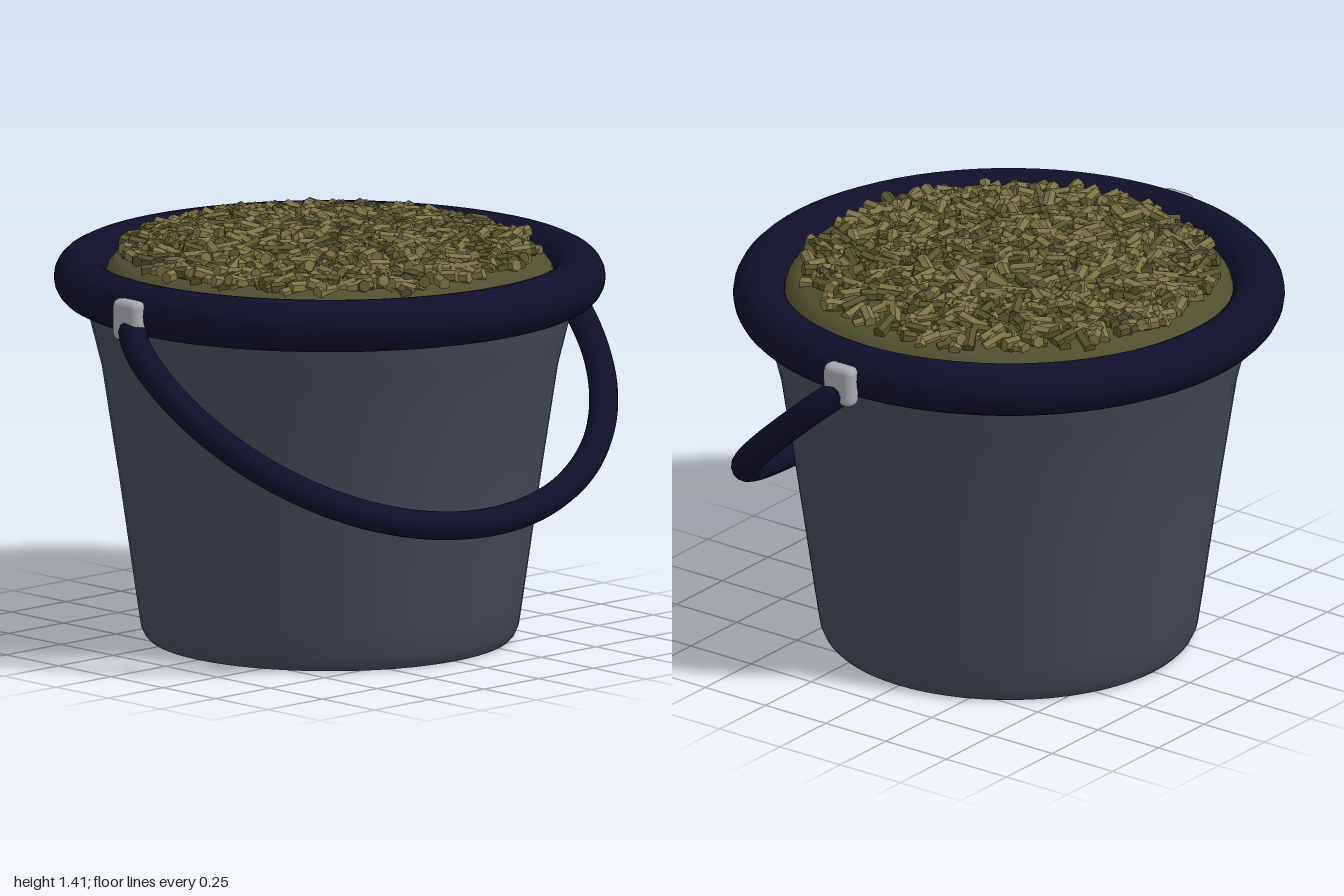
import * as THREE from 'three';
import { mergeGeometries, toCreasedNormals } from 'three/addons/utils/BufferGeometryUtils.js';
import { RoundedBoxGeometry } from 'three/addons/geometries/RoundedBoxGeometry.js';

const material = (name, color, side = THREE.FrontSide) => {
  const m = new THREE.MeshStandardMaterial({ color, side });
  m.name = name;
  return m;
};

// Small seeded generator for the pellet scatter
function seeded(seed) {
  return () => {
    seed = (seed * 1664525 + 1013904223) % 4294967296;
    return seed / 4294967296;
  };
}

const lathe = (pairs, segments = 64) =>
  new THREE.LatheGeometry(pairs.map(([r, y]) => new THREE.Vector2(r, y)), segments);

// Height of the heaped feed at a distance from the centre
const heapHeight = (r) => 1.365 - 0.09 * (r / 0.74) ** 2;

export function createModel() {
  const group = new THREE.Group();
  const slate = material('slate plastic', 0x434954, THREE.DoubleSide);
  const navy = material('navy plastic', 0x0f0f2a);
  const grey = material('light grey', 0xa6a8b0);
  const feed = material('olive feed', 0x505030, THREE.DoubleSide);
  const lightPellet = material('light pellet', 0x7c7246);
  const darkPellet = material('dark pellet', 0x57542f);

  const add = (name, geometry, mat) => {
    const mesh = new THREE.Mesh(geometry, mat);
    mesh.name = name;
    group.add(mesh);
    return mesh;
  };

  // Tapered bucket with a closed, slightly rounded foot
  const body = lathe([
    [0, 0], [0.6, 0], [0.612, 0.012], [0.625, 0.04], [0.64, 0.14],
    [0.7, 0.56], [0.755, 0.92], [0.78, 1.02], [0.81, 1.14], [0.82, 1.21],
  ]);
  add('bucket', toCreasedNormals(body, 0.7), slate);

  // Thick rounded rim
  const rim = add('rim', new THREE.TorusGeometry(0.825, 0.087, 20, 80), navy);
  rim.rotation.x = Math.PI / 2;
  rim.position.y = 1.21;

  // Carrying handle, hanging forward in a sloping plane
  const path = [new THREE.Vector3(0.895, 1.17, 0)];
  const slope = (x, y) => new THREE.Vector3(x, y, (1.165 - y) * 1.15);
  path[0].copy(slope(0.9, 1.165));
  path.push(slope(0.935, 1.125));
  for (let i = 0; i <= 24; i++) {
    const a = (Math.PI * i) / 24;
    path.push(slope(0.952 * Math.cos(a), 1.06 - 0.565 * Math.sin(a)));
  }
  path.push(slope(-0.935, 1.125), slope(-0.9, 1.165));
  add('handle', new THREE.TubeGeometry(new THREE.CatmullRomCurve3(path), 96, 0.048, 14), navy);

  // Handle clips on both sides of the rim
  for (const side of [1, -1]) {
    const clip = add(side > 0 ? 'leftClip' : 'rightClip',
      new RoundedBoxGeometry(0.06, 0.14, 0.12, 3, 0.025), grey);
    clip.position.set(side * 0.916, 1.19, 0);
  }

  // Heaped feed surface, dipping down at the rim
  const heap = [[0.75, 1.2], [0.735, 1.245]];
  for (const r of [0.7, 0.6, 0.45, 0.3, 0.15, 0]) heap.push([r, heapHeight(r)]);
  add('feedHeap', lathe(heap), feed);

  // Scattered six-sided pellets lying on the heap
  const random = seeded(7);
  const pellet = new THREE.CylinderGeometry(0.021, 0.021, 0.088, 6).toNonIndexed();
  pellet.computeVertexNormals();
  const piles = [[], []];
  const dummy = new THREE.Object3D();
  dummy.rotation.order = 'YXZ';
  const count = 1100;
  for (let i = 0; i < count; i++) {
    const r = 0.665 * Math.sqrt((i + random()) / count);
    const a = random() * Math.PI * 2;
    dummy.position.set(r * Math.cos(a), heapHeight(r) - 0.004 + random() * 0.018, r * Math.sin(a));
    dummy.rotation.set(Math.PI / 2 + (random() - 0.5) * 0.7, random() * Math.PI * 2, 0);
    dummy.updateMatrix();
    piles[random() < 0.6 ? 0 : 1].push(pellet.clone().applyMatrix4(dummy.matrix));
  }
  add('lightPellets', mergeGeometries(piles[0]), lightPellet);
  add('darkPellets', mergeGeometries(piles[1]), darkPellet);

  return group;
}
